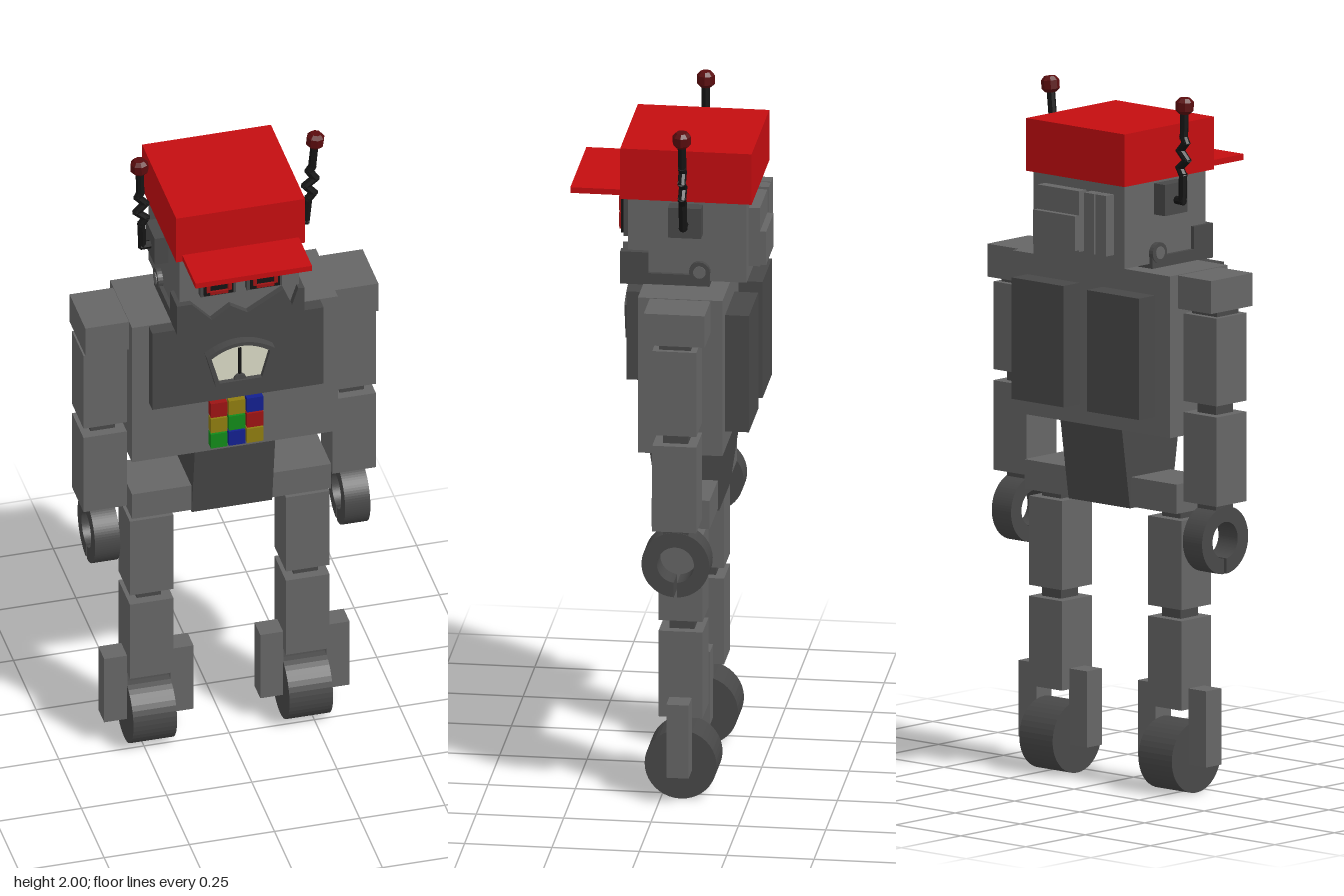
import * as THREE from 'three';

const material = (color) => new THREE.MeshStandardMaterial({ color, flatShading: true });
const GREY = material(0x666666), DARK = material(0x484848), BLACK = material(0x141414);
const CAP = material(0xc40d10), MAROON = material(0x5a0c0e), RED = material(0x9c1414);
const YELLOW = material(0x8f7d10), GREEN = material(0x128a1a), BLUE = material(0x14208f);
const CREAM = material(0xd8d8c4);
const MID = -0.057; // z of the limb axis

export function createModel() {
  const robot = new THREE.Group();

  const add = (name, geometry, mat, parent = robot) => {
    const mesh = new THREE.Mesh(geometry, mat);
    mesh.name = name;
    parent.add(mesh);
    return mesh;
  };
  // Box given by its limits on each axis
  const box = (name, x0, x1, y0, y1, z0, z1, mat = GREY, parent = robot) => {
    const g = new THREE.BoxGeometry(x1 - x0, y1 - y0, z1 - z0);
    g.translate((x0 + x1) / 2, (y0 + y1) / 2, (z0 + z1) / 2);
    return add(name, g, mat, parent);
  };
  // Outline in x,y extruded from z0 to z1
  const plate = (name, shape, z0, z1, mat) => {
    const g = new THREE.ExtrudeGeometry(shape, { depth: z1 - z0, bevelEnabled: false, curveSegments: 16 });
    g.translate(0, 0, z0);
    return add(name, g, mat);
  };
  const polygon = (points) => new THREE.Shape(points.map(([x, y]) => new THREE.Vector2(x, y)));
  // Straight rod between two points
  const rod = (name, a, b, radius, mat, parent) => {
    const dir = b.clone().sub(a);
    const m = add(name, new THREE.CylinderGeometry(radius, radius, dir.length() + radius, 8), mat, parent);
    m.position.copy(a).add(b).multiplyScalar(0.5);
    m.quaternion.setFromUnitVectors(new THREE.Vector3(0, 1, 0), dir.normalize());
  };

  // Cap
  box('capCrown', -0.19, 0.188, 1.76, 1.912, -0.246, 0.13, CAP);
  box('capBrim', -0.172, 0.17, 1.765, 1.782, 0.12, 0.275, CAP);

  // Head and jagged jaw
  box('head', -0.175, 0.175, 1.52, 1.77, -0.23, 0.11);
  box('neck', -0.11, 0.11, 1.49, 1.53, -0.15, 0.03, DARK);
  plate('jaw', polygon([
    [-0.187, 1.505], [0.187, 1.505], [0.187, 1.602], [0.168, 1.605], [0.15, 1.55], [0.125, 1.61],
    [0.02, 1.548], [-0.03, 1.58], [-0.085, 1.54], [-0.145, 1.605], [-0.187, 1.605],
  ]), 0.05, 0.13, DARK);
  box('jawHinge', -0.187, 0.187, 1.505, 1.54, -0.125, 0.06, DARK);

  // Eyes: dark panels carrying seven-bar figures
  for (const cx of [-0.067, 0.069]) {
    box('eyePanel', cx - 0.052, cx + 0.052, 1.625, 1.757, 0.1, 0.13, DARK);
    box('eyeScreen', cx - 0.043, cx + 0.043, 1.632, 1.75, 0.12, 0.138, BLACK);
    for (const y of [1.643, 1.692, 1.741])
      box('eyeBar', cx - 0.026, cx + 0.026, y - 0.005, y + 0.005, 0.13, 0.145, RED);
    for (const x of [-0.031, 0.031]) for (const y of [1.667, 1.717])
      box('eyeBar', cx + x - 0.005, cx + x + 0.005, y - 0.02, y + 0.02, 0.13, 0.145, RED);
  }

  // Panels on the back of the head
  box('rearPanel', -0.03, 0.13, 1.555, 1.73, -0.262, -0.22, GREY);
  box('rearPanelRaised', -0.03, 0.13, 1.56, 1.66, -0.28, -0.25, GREY);
  box('rearStrip', -0.135, -0.095, 1.555, 1.73, -0.264, -0.22, GREY);
  box('rearStrip', -0.09, -0.05, 1.555, 1.73, -0.264, -0.22, GREY);

  // Ears, hinge bolts and antennas; the left antenna leans outward
  for (const s of [-1, 1]) {
    box('ear', s * 0.193 - 0.023, s * 0.193 + 0.023, 1.66, 1.75, -0.105, -0.01, DARK);
    const bolt = add('hingeBolt', new THREE.CylinderGeometry(0.03, 0.03, 0.03, 20).rotateZ(Math.PI / 2), DARK);
    bolt.position.set(s * 0.175, 1.55, -0.097);
    const core = add('hingeBoltCore', new THREE.CylinderGeometry(0.018, 0.018, 0.036, 20).rotateZ(Math.PI / 2), GREY);
    core.position.set(s * 0.175, 1.55, -0.097);

    const antenna = new THREE.Group();
    antenna.name = 'antenna';
    antenna.position.set(s * 0.24, 1.7, MID);
    antenna.rotation.z = s > 0 ? -0.1 : 0.03;
    const zig = [[-s * 0.035, 0], [0, 0], [0, 0.075], [0.013, 0.095], [-0.013, 0.12], [0.013, 0.145],
      [-0.008, 0.17], [0, 0.185], [0, 0.265]].map(([x, y]) => new THREE.Vector3(x, y, 0));
    for (let i = 1; i < zig.length; i++) rod('antennaRod', zig[i - 1], zig[i], 0.012, BLACK, antenna);
    const tip = [[0, 0.253], [0.016, 0.253], [0.026, 0.263], [0.026, 0.288], [0.016, 0.299], [0, 0.299]];
    add('antennaTip', new THREE.LatheGeometry(tip.map(([x, y]) => new THREE.Vector2(x, y)), 8), MAROON, antenna);
    robot.add(antenna);
  }

  // Torso, chest plate and back packs
  box('torso', -0.302, 0.302, 1.04, 1.507, -0.178, 0.064);
  box('chestPlate', -0.253, 0.25, 1.24, 1.505, 0.05, 0.103, DARK);
  for (const s of [-1, 1])
    box('backPack', s * 0.145 - 0.1, s * 0.145 + 0.1, 1.095, 1.445, -0.246, -0.16, DARK);

  // Fan-shaped gauge with rim, dial and needle
  const fan = (w, top, mid, b, bottom) => {
    const shape = new THREE.Shape();
    shape.moveTo(-b, bottom);
    shape.lineTo(b, bottom);
    shape.lineTo(w, top);
    shape.quadraticCurveTo(0, mid, -w, top);
    shape.closePath();
    return shape;
  };
  const rim = fan(0.1, 1.41, 1.482, 0.072, 1.302);
  rim.holes.push(fan(0.086, 1.403, 1.466, 0.062, 1.315));
  plate('gaugeRim', rim, 0.1, 0.13, DARK);
  plate('gaugeDial', fan(0.088, 1.404, 1.468, 0.064, 1.313), 0.1, 0.115, CREAM);
  box('gaugeNeedle', -0.004, 0.004, 1.32, 1.42, 0.11, 0.121, BLACK);
  const pivot = new THREE.Shape();
  pivot.absarc(0, 1.314, 0.018, 0, Math.PI);
  plate('gaugePivot', pivot, 0.11, 0.124, DARK);

  // Three by three coloured buttons
  const buttons = [[RED, YELLOW, BLUE], [YELLOW, GREEN, RED], [GREEN, BLUE, YELLOW]];
  buttons.forEach((row, r) => row.forEach((mat, c) => {
    const x = (c - 1) * 0.053, y = 1.193 - r * 0.053;
    box('button', x - 0.024, x + 0.024, y - 0.024, y + 0.024, 0.05, 0.088, mat);
  }));

  // Waist tapering front to back, and hip bar
  const waist = new THREE.BoxGeometry(0.236, 0.23, 0.242);
  const p = waist.attributes.position;
  for (let i = 0; i < p.count; i++) if (p.getY(i) < 0) p.setZ(i, p.getZ(i) * 0.72);
  waist.translate(0, 0.925, MID);
  add('waist', waist, DARK);
  box('hips', -0.292, 0.292, 0.815, 0.9, -0.14, 0.026);

  // Hand: a thick ring with a slit at the bottom
  const ring = new THREE.Shape();
  const a0 = -Math.PI / 2, a1 = Math.PI * 1.5;
  ring.absarc(0, 0, 0.097, a0 + 0.05, a1 - 0.05, false);
  ring.absarc(0, 0, 0.053, a1 - 0.09, a0 + 0.09, true);
  ring.closePath();
  const handGeometry = new THREE.ExtrudeGeometry(ring, { depth: 0.074, bevelEnabled: false, curveSegments: 40 });
  handGeometry.translate(0, 0, -0.037).rotateY(Math.PI / 2);

  // Arms and legs, mirrored
  for (const s of [-1, 1]) {
    const limb = (name, cx, halfW, y0, y1, halfD, mat = GREY) =>
      box(name, s * cx - halfW, s * cx + halfW, y0, y1, MID - halfD, MID + halfD, mat);

    limb('shoulder', 0.364, 0.066, 1.41, 1.505, 0.087);
    limb('shoulderJoint', 0.366, 0.048, 1.38, 1.42, 0.045, DARK);
    limb('upperArm', 0.365, 0.064, 1.14, 1.393, 0.063);
    limb('elbow', 0.366, 0.036, 1.1, 1.15, 0.036, DARK);
    limb('forearm', 0.365, 0.064, 0.85, 1.108, 0.063);
    limb('wrist', 0.366, 0.036, 0.825, 0.86, 0.036, DARK);
    add('hand', handGeometry, DARK).position.set(s * 0.367, 0.742, MID);

    limb('hipJoint', 0.23, 0.036, 0.78, 0.825, 0.036, DARK);
    limb('thigh', 0.229, 0.064, 0.535, 0.792, 0.063);
    limb('knee', 0.23, 0.036, 0.49, 0.545, 0.036, DARK);
    limb('shin', 0.229, 0.064, 0.245, 0.503, 0.063);
    limb('outerFork', 0.326, 0.034, 0.085, 0.305, 0.032);
    limb('innerFork', 0.132, 0.034, 0.085, 0.305, 0.032);
    const wheel = add('wheel', new THREE.CylinderGeometry(0.103, 0.103, 0.128, 40).rotateZ(Math.PI / 2), DARK);
    wheel.position.set(s * 0.229, 0.103, MID);
  }

  return robot;
}
